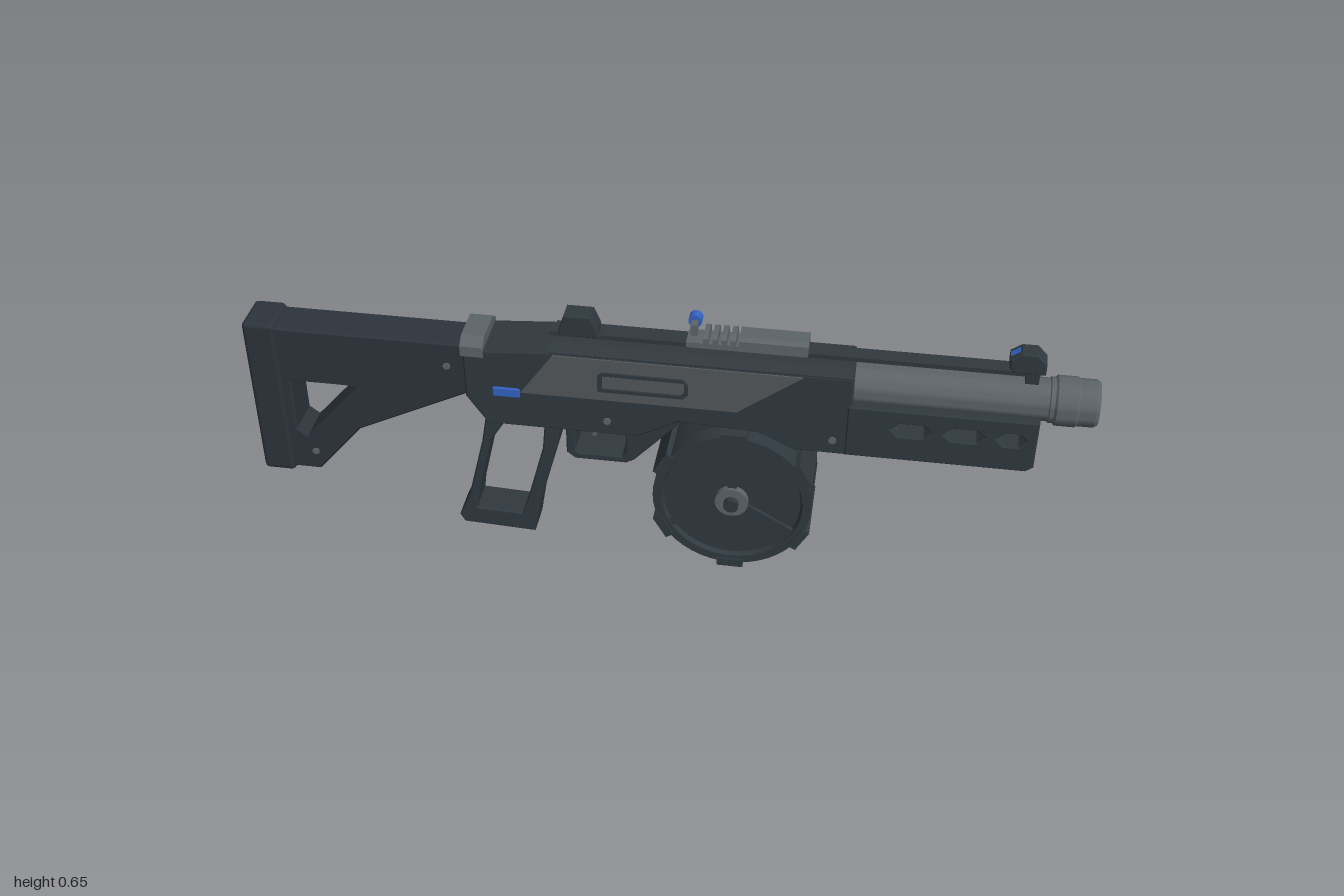
import * as THREE from 'three';
import { toCreasedNormals } from 'three/addons/utils/BufferGeometryUtils.js';
import { RoundedBoxGeometry } from 'three/addons/geometries/RoundedBoxGeometry.js';

function material(name, color) {
  const m = new THREE.MeshStandardMaterial({ color });
  m.name = name;
  return m;
}

export function createModel() {
  const root = new THREE.Group();
  root.name = 'drumShotgun';
  const body = material('gunmetal', 0x30393f);
  const stockMat = material('dark polymer', 0x2d343b);
  const panelMat = material('grey panel', 0x52585b);
  const steel = material('barrel steel', 0x5c6468);
  const blue = material('blue accent', 0x3463c4);

  const add = (name, geo, mat, x = 0, y = 0, z = 0, parent = root) => {
    const m = new THREE.Mesh(geo, mat);
    m.name = name;
    m.position.set(x, y, z);
    parent.add(m);
    return m;
  };
  // box given by its limits
  const box = (name, x0, x1, y0, y1, z0, z1, mat) =>
    add(name, new THREE.BoxGeometry(x1 - x0, y1 - y0, z1 - z0), mat, (x0 + x1) / 2, (y0 + y1) / 2, (z0 + z1) / 2);
  const vecs = pts => pts.map(p => new THREE.Vector2(p[0], p[1]));
  // points in the winding wanted by shapes (outline) or paths (holes)
  const wound = (pts, clockwise) => {
    const v = vecs(pts);
    return THREE.ShapeUtils.isClockWise(v) === clockwise ? v : v.reverse();
  };
  // side outline extruded across z, from -half to +half, with bevelled edges
  const slab = (name, pts, half, mat, holes = [], bevel = 0.006, z = 0) => {
    const shape = new THREE.Shape(wound(pts, false));
    holes.forEach(h => shape.holes.push(new THREE.Path(wound(h, true))));
    const geo = new THREE.ExtrudeGeometry(shape, {
      depth: 2 * (half - bevel), bevelEnabled: bevel > 0, bevelSize: bevel,
      bevelThickness: bevel, bevelOffset: -bevel, bevelSegments: 1,
    });
    geo.translate(0, 0, -(half - bevel));
    return add(name, geo, mat, 0, 0, z);
  };
  // cross-section with chamfered top corners, extruded along x
  const chamfered = (name, x0, x1, y0, y1, half, cut, mat) => {
    const geo = new THREE.ExtrudeGeometry(new THREE.Shape(vecs([[-half, y0], [half, y0], [half, y1 - cut],
      [half - cut * 1.3, y1], [cut * 1.3 - half, y1], [-half, y1 - cut]])), { depth: x1 - x0, bevelEnabled: false });
    geo.rotateY(Math.PI / 2);
    return add(name, geo, mat, x0);
  };
  const lathe = (name, pts, mat, seg, parent) =>
    add(name, toCreasedNormals(new THREE.LatheGeometry(vecs(pts), seg), 0.5), mat, 0, 0, 0, parent);
  // short cylinder across z
  const pin = (name, x, y, z, r, len, mat) => {
    const m = add(name, new THREE.CylinderGeometry(r, r, len, 16), mat, x, y, z);
    m.rotation.x = Math.PI / 2;
  };

  // shoulder stock with triangular opening
  slab('stock', [[-0.93, 0.563], [-0.45, 0.563], [-0.45, 0.43], [-0.74, 0.285], [-0.855, 0.15], [-0.93, 0.15]],
    0.05, stockMat, [[[-0.9, 0.413], [-0.73, 0.413], [-0.875, 0.25], [-0.9, 0.27]]], 0.004);
  add('buttPad', new RoundedBoxGeometry(0.08, 0.435, 0.11, 2, 0.012), stockMat, -0.96, 0.355, 0);
  chamfered('stockCollar', -0.465, -0.41, 0.545, 0.59, 0.068, 0.018, steel);

  // receiver
  slab('receiver', [[-0.46, 0.56], [-0.26, 0.575], [0.45, 0.575], [0.45, 0.36], [0.32, 0.36], [0.24, 0.4],
    [0.05, 0.41], [-0.05, 0.355], [-0.41, 0.355], [-0.46, 0.43]], 0.067, body, [], 0.004);
  chamfered('receiverTop', -0.255, 0.445, 0.54, 0.592, 0.066, 0.016, body);
  for (const s of [1, -1]) {
    slab('sidePanel', [[-0.325, 0.457], [0.185, 0.457], [0.335, 0.57], [-0.245, 0.57]], 0.004, panelMat, [], 0, s * 0.067);
    add('blueLatch', new RoundedBoxGeometry(0.066, 0.026, 0.009, 1, 0.004), blue, -0.36, 0.453, s * 0.068);
    for (const [x, y] of [[-0.12, 0.395], [0.41, 0.4]])
      pin('receiverPin', x, y, s * 0.067, 0.009, 0.008, steel);
    for (const [x, y] of [[-0.505, 0.5], [-0.86, 0.205]])
      pin('stockPin', x, y, s * 0.05, 0.009, 0.006, steel);
  }
  add('safetyButton', new THREE.BoxGeometry(0.045, 0.02, 0.008), blue, -0.24, 0.4, -0.068);

  // ejection port: frame and handle on the model's front side
  slab('portFrame', [[-0.14, 0.483], [0.06, 0.483], [0.072, 0.495], [0.072, 0.523], [0.06, 0.537], [-0.13, 0.537], [-0.14, 0.526]],
    0.004, body, [[[-0.129, 0.492], [0.055, 0.492], [0.063, 0.5], [0.063, 0.528], [-0.129, 0.528]]], 0, 0.0715);
  box('portHandle', -0.124, -0.09, 0.494, 0.526, 0.07, 0.074, panelMat);

  // trigger guard and trigger
  slab('triggerGuard', [[-0.225, 0.37], [0.06, 0.41], [0.04, 0.38], [-0.06, 0.27], [-0.08, 0.258], [-0.205, 0.258], [-0.225, 0.275]],
    0.048, body, [[[-0.203, 0.352], [-0.08, 0.352], [-0.08, 0.29], [-0.09, 0.276], [-0.195, 0.276], [-0.203, 0.285]]], 0.003);
  slab('trigger', [[-0.17, 0.36], [-0.14, 0.36], [-0.145, 0.325], [-0.162, 0.3], [-0.17, 0.304], [-0.158, 0.33]], 0.012, steel, [], 0.002);

  // skeleton pistol grip
  slab('grip', [[-0.42, 0.365], [-0.235, 0.365], [-0.25, 0.28], [-0.3, 0.1], [-0.305, 0.07], [-0.315, 0.01],
    [-0.495, 0.018], [-0.507, 0.04], [-0.48, 0.1], [-0.435, 0.28]],
  0.045, body, [[[-0.375, 0.345], [-0.278, 0.345], [-0.285, 0.275], [-0.33, 0.11], [-0.345, 0.065],
    [-0.46, 0.07], [-0.455, 0.11], [-0.415, 0.28]]], 0.004);

  // drum magazine, axis along z
  const drum = new THREE.Group();
  drum.name = 'drumMagazine';
  drum.position.set(0.182, 0.203, 0);
  drum.rotation.x = Math.PI / 2;
  root.add(drum);
  lathe('drumShell', [[0, -0.076], [0.165, -0.076], [0.17, -0.088], [0.191, -0.088], [0.191, 0.088],
    [0.17, 0.088], [0.165, 0.076], [0, 0.076]], body, 48, drum);
  for (let i = 0; i < 6; i++) {
    const a = Math.PI / 2 + i * Math.PI / 3;
    const clip = add('drumClip', new THREE.BoxGeometry(0.022, 0.184, 0.064), body, Math.cos(a) * 0.19, 0, -Math.sin(a) * 0.19, drum);
    clip.rotation.y = a;
    if (i % 2) continue;
    const spoke = add('drumSpoke', new THREE.BoxGeometry(0.14, 0.17, 0.022), body, Math.cos(a) * 0.1, 0, -Math.sin(a) * 0.1, drum);
    spoke.rotation.y = a;
  }
  add('drumHub', new THREE.CylinderGeometry(0.04, 0.04, 0.184, 24), steel, 0, 0, 0, drum);
  add('drumBolt', new THREE.CylinderGeometry(0.018, 0.018, 0.214, 16), body, 0, 0, 0, drum);
  box('magazineWell', 0.08, 0.28, 0.36, 0.42, -0.045, 0.045, body);

  // handguard with three slots cut through
  const slot = (a, b) => [[a, 0.447], [a + 0.018, 0.429], [b - 0.018, 0.429], [b, 0.447], [b - 0.018, 0.465], [a + 0.018, 0.465]];
  slab('handguard', [[0.44, 0.5], [0.872, 0.5], [0.872, 0.375], [0.855, 0.362], [0.44, 0.362]], 0.07, body,
    [slot(0.54, 0.635), slot(0.66, 0.755), slot(0.78, 0.85)], 0.003);
  box('lowerRail', 0.5, 0.83, 0.35, 0.365, -0.022, 0.022, body);
  for (let i = 0; i < 9; i++)
    box('lowerRailTooth', 0.51 + i * 0.036, 0.53 + i * 0.036, 0.34, 0.352, -0.022, 0.022, body);

  // barrel and muzzle
  const barrel = new THREE.Group();
  barrel.name = 'barrelAssembly';
  barrel.position.y = 0.522;
  barrel.rotation.z = -Math.PI / 2;
  root.add(barrel);
  lathe('barrel', [[0.05, 0.4], [0.05, 0.9]], steel, 40, barrel);
  lathe('muzzle', [[0.045, 0.885], [0.053, 0.89], [0.053, 0.9], [0.058, 0.905], [0.058, 0.95], [0.055, 0.955],
    [0.055, 0.992], [0.05, 1], [0.036, 1], [0.033, 0.995], [0.033, 0.95]], steel, 40, barrel);
  add('bore', new THREE.CylinderGeometry(0.034, 0.034, 0.01, 32), body, 0, 0.95, 0, barrel);

  // top rib
  box('topRib', -0.26, 0.86, 0.593, 0.604, -0.02, 0.02, body);

  // sights
  slab('rearSight', [[-0.242, 0.597], [-0.143, 0.597], [-0.148, 0.62], [-0.162, 0.653], [-0.225, 0.653], [-0.236, 0.62]], 0.025, body, [], 0.003);
  slab('frontSight', [[0.79, 0.615], [0.79, 0.635], [0.815, 0.653], [0.85, 0.653], [0.872, 0.63], [0.872, 0.6], [0.8, 0.6]], 0.023, body, [], 0.003);
  box('frontSightPost', 0.83, 0.86, 0.56, 0.605, -0.015, 0.015, body);
  const dot = add('frontSightDot', new THREE.BoxGeometry(0.024, 0.006, 0.016), blue, 0.802, 0.643, 0);
  dot.rotation.z = 0.62;

  // toothed accessory mount with blue knob
  box('mountBase', 0.06, 0.34, 0.598, 0.612, -0.028, 0.028, steel);
  chamfered('mountBlock', 0.182, 0.34, 0.603, 0.634, 0.031, 0.007, steel);
  for (let i = 0; i < 4; i++)
    chamfered('mountTooth', 0.1 + i * 0.021, 0.112 + i * 0.021, 0.603, 0.634, 0.031, 0.007, steel);
  box('mountKnobStem', 0.066, 0.082, 0.605, 0.64, -0.026, 0, steel);
  pin('mountKnob', 0.074, 0.636, -0.035, 0.016, 0.024, blue);

  // sling loop on the far side
  slab('slingLoop', [[0.4, 0.4], [0.425, 0.4], [0.435, 0.345], [0.425, 0.324], [0.4, 0.324], [0.39, 0.345]], 0.004, steel,
    [[[0.405, 0.355], [0.42, 0.355], [0.423, 0.345], [0.418, 0.336], [0.407, 0.336], [0.402, 0.345]]], 0, -0.07);
  return root;
}
